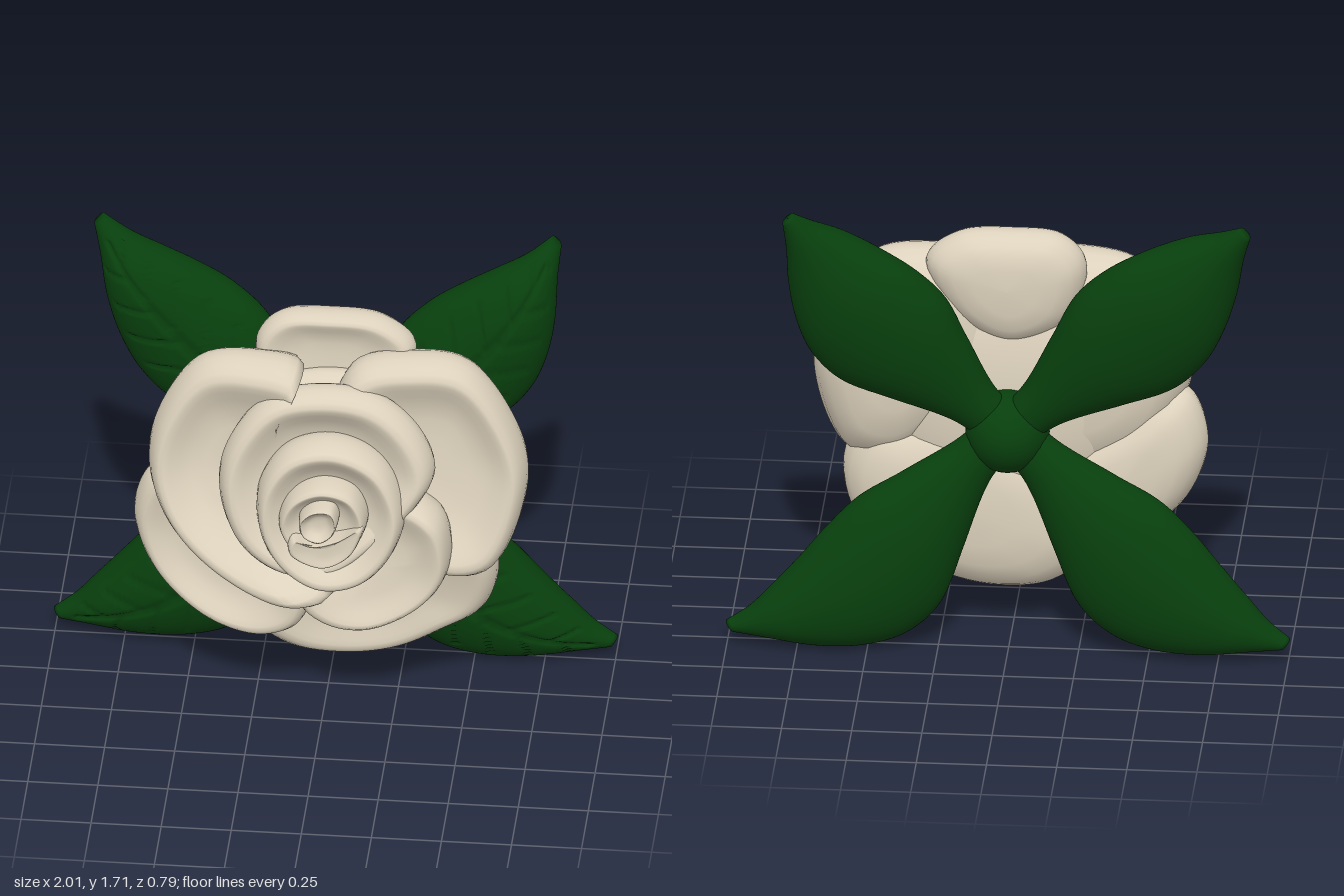
import * as THREE from 'three';

const cream = new THREE.MeshStandardMaterial({ color: 0xdcd1bc });
cream.name = 'cream petal';
const green = new THREE.MeshStandardMaterial({ color: 0x083f0d });
green.name = 'dark green leaf';

const HEART = [0.02, 0.9]; // middle of the bloom

// Skin a stack of closed loops; each ring is an array of [x, y, z].
function loft(rings) {
  const n = rings[0].length;
  const index = [];
  for (let i = 0; i < rings.length - 1; i++) {
    for (let j = 0; j < n; j++) {
      const k = (j + 1) % n;
      const a = i * n + j, d = i * n + k, b = a + n, c = d + n;
      index.push(a, d, b, b, d, c);
    }
  }
  const geo = new THREE.BufferGeometry();
  geo.setAttribute('position', new THREE.Float32BufferAttribute(rings.flat(2), 3));
  geo.setIndex(index);
  geo.computeVertexNormals();
  return geo;
}

// Smooth interpolation through [position, value] pairs.
function ramp(points, t) {
  let i = 0;
  while (i < points.length - 2 && t > points[i + 1][0]) i++;
  const [t0, v0] = points[i], [t1, v1] = points[i + 1];
  const p = points[Math.max(0, i - 1)], q = points[Math.min(points.length - 1, i + 2)];
  const m0 = (v1 - p[1]) / (t1 - p[0]) * (t1 - t0), m1 = (q[1] - v0) / (q[0] - t0) * (t1 - t0);
  const u = (t - t0) / (t1 - t0), u2 = u * u, u3 = u2 * u;
  return (2 * u3 - 3 * u2 + 1) * v0 + (u3 - 2 * u2 + u) * m0 + (3 * u2 - 2 * u3) * v1 + (u3 - u2) * m1;
}

// Petal section from back centre to front centre: [scale, height 0..1, share of dish depth]
const SECTION = [
  [0.001, 0, 0], [0.4, 0.015, 0], [0.65, 0.07, 0], [0.82, 0.19, 0], [0.93, 0.36, 0], [0.985, 0.52, 0],
  [1, 0.64, 0], [0.99, 0.76, 0], [0.96, 0.88, 0], [0.92, 0.96, 0], [0.87, 1, 0], [0.82, 1, 0.06],
  [0.76, 1, 0.2], [0.67, 1, 0.45], [0.55, 1, 0.74], [0.4, 1, 0.93], [0.2, 1, 1], [0.001, 1, 1],
];

// A thick dished petal: outline runs anticlockwise seen from the front.
function petal({ outline, back, front, dish, gx = 0, gy = 0, drop = 0 }) {
  const curve = new THREE.CatmullRomCurve3(outline.map(([x, y]) => new THREE.Vector3(x, y, 0)), true);
  const loop = curve.getSpacedPoints(72).slice(0, 72);
  const cx = loop.reduce((s, p) => s + p.x, 0) / 72;
  const cy = loop.reduce((s, p) => s + p.y, 0) / 72;
  return loft(SECTION.map(([s, h, d]) => loop.map((p) => {
    const x = cx + (p.x - cx) * s, y = cy + (p.y - cy) * s;
    const near = Math.max(0, 1 - Math.hypot(x - HEART[0], y - HEART[1]) / 0.36);
    const top = front + gx * (x - cx) + gy * (y - cy) - drop * near;
    return [x, y, back + (top - back) * h - dish * d];
  })));
}

const PETALS = {
  topPetal: { back: -0.16, front: 0.03, dish: 0.04, gy: -0.1,
    outline: [[.31, 1.42], [.2, 1.52], [0, 1.54], [-.18, 1.52], [-.26, 1.42], [-.2, 1.2], [0, 1.1], [.2, 1.2]] },
  bottomPetal: { back: -0.15, front: 0.12, dish: 0.05, gy: 0.2, drop: 0.1,
    outline: [[.61, .6], [.53, .75], [.2, .8], [-.2, .6], [-.28, .3], [-.15, .17], [.05, .14], [.25, .18], [.42, .28], [.57, .4]] },
  lowerLeftPetal: { back: -0.13, front: 0.16, dish: 0.06, gx: 0.2, drop: 0.1,
    outline: [[-.05, .5], [-.15, .66], [-.4, .82], [-.61, .91], [-.69, .73], [-.62, .5], [-.42, .32], [-.22, .28], [-.08, .35]] },
  rightPetal: { back: -0.14, front: 0.19, dish: 0.08, gx: -0.08, gy: -0.15, drop: 0.15,
    outline: [[.72, .95], [.67, 1.17], [.5, 1.4], [.3, 1.43], [.09, 1.38], [.02, 1.05], [.2, .8], [.42, .6], [.6, .62]] },
  leftPetal: { back: -0.12, front: 0.26, dish: 0.1, gx: 0.2, gy: -0.2, drop: 0.28,
    outline: [[-.14, .95], [-.14, 1.25], [-.08, 1.39], [-.25, 1.42], [-.45, 1.38], [-.6, 1.16], [-.63, .95],
      [-.55, .75], [-.35, .58], [-.1, .5], [.05, .56], [-.02, .72]] },
  lowerRightPetal: { back: 0, front: 0.31, dish: 0.05, drop: 0.1,
    outline: [[.46, .72], [.42, .88], [.28, .94], [.08, .78], [-.09, .51], [0, .42], [.15, .4], [.32, .48], [.43, .6]] },
  outerWhorl: { back: 0.02, front: 0.29, dish: 0.1, gy: -0.17,
    outline: [[.4, 1.05], [.34, 1.2], [.2, 1.32], [0, 1.35], [-.2, 1.3], [-.34, 1.12], [-.37, .95], [-.3, .75],
      [-.15, .64], [.04, .64], [.2, .76], [.35, .93]] },
  middleWhorl: { back: 0.05, front: 0.35, dish: 0.09, gy: -0.12,
    outline: [[.3, .92], [.22, 1.1], [.05, 1.18], [-.12, 1.14], [-.22, 1], [-.22, .82], [-.14, .68], [0, .6], [.15, .63], [.26, .75]] },
  innerWhorl: { back: 0.1, front: 0.365, dish: 0.06,
    outline: [[.17, .9], [.12, 1.01], [0, 1.04], [-.11, .98], [-.15, .87], [-.1, .77], [.02, .72], [.13, .79]] },
  innerFold: { back: 0.2, front: 0.39, dish: 0.01, gx: -0.05,
    outline: [[.16, .9], [.08, .85], [-.03, .82], [-.1, .84], [-.11, .78], [.01, .72], [.12, .78]] },
  bud: { back: 0.15, front: 0.4, dish: 0.03,
    outline: [[.07, .91], [.05, .97], [-.02, .97], [-.07, .92], [-.06, .86], [0, .83], [.05, .86]] },
};

const LEAF_WIDTH = [[0, .08], [.12, .1], [.3, .18], [.45, .245], [.58, .245], [.7, .205], [.82, .14], [.92, .07], [1, .025]];
const LEAF_THICK = [[0, .07], [.15, .085], [.4, .13], [.65, .135], [.85, .1], [1, .03]];

// A plump pointed leaf with engraved veins on its front.
function leaf(base, tip, tipZ, bow) {
  const dx = tip[0] - base[0], dy = tip[1] - base[1], len = Math.hypot(dx, dy);
  const px = -dy / len, py = dx / len; // sideways direction
  const mid = [[0, -.19], [.3, -.225], [.6, -.255], [.85, -.275], [1, tipZ]];
  const rings = [];
  const N = 90, M = 72;
  for (let i = -1; i <= N + 1; i++) {
    const t = Math.min(1, Math.max(0, i / N));
    const closed = i < 0 || i > N ? 0.01 : 1;
    const w = ramp(LEAF_WIDTH, t) * closed, h = ramp(LEAF_THICK, t) * closed;
    const ring = [];
    for (let j = 0; j < M; j++) {
      const a = j / M * Math.PI * 2;
      const side = w * Math.cos(a);
      let z = ramp(mid, t) + h * Math.sin(a);
      if (Math.sin(a) > 0.2 && t > 0.3 && t < 0.95) {
        const off = Math.abs(side);
        const phase = (t * len - off * 0.9) / 0.15 + (side > 0 ? 0.35 : 0);
        const vein = Math.abs(phase - Math.round(phase)) * 0.15;
        const rib = Math.max(0, 1 - off / 0.014);
        const branch = off < w * 0.75 ? Math.max(0, 1 - vein / 0.014) : 0;
        z -= 0.014 * Math.max(rib, branch);
      }
      const o = side + bow * Math.sin(Math.PI * t ** 1.4);
      ring.push([base[0] + dx * t + px * o, base[1] + dy * t + py * o, z]);
    }
    rings.push(ring);
  }
  return loft(rings);
}

const LEAVES = [
  ['upperRightLeaf', [-.02, .84], [-.85, 1.69], -.34, .03],
  ['upperLeftLeaf', [.04, .84], [.78, 1.69], -.34, -.06],
  ['lowerRightLeaf', [-.02, .8], [-.99, .06], -.28, .125],
  ['lowerLeftLeaf', [.04, .8], [.99, .06], -.28, -.15],
];

export function createModel() {
  const model = new THREE.Group();
  model.name = 'roseWithLeaves';
  const add = (parent, name, geo, mat) => {
    const mesh = new THREE.Mesh(geo, mat);
    mesh.name = name;
    parent.add(mesh);
    return mesh;
  };

  // Bloom: petals around a solid core that closes the back
  const bloom = new THREE.Group();
  bloom.name = 'bloom';
  for (const [name, spec] of Object.entries(PETALS)) add(bloom, name, petal(spec), cream);
  const core = add(bloom, 'core', new THREE.SphereGeometry(1, 40, 24), cream);
  core.scale.set(0.46, 0.46, 0.16);
  core.position.set(0.02, 0.87, 0.01);

  // Leaves and the rounded hub behind the bloom
  const foliage = new THREE.Group();
  foliage.name = 'foliage';
  for (const [name, ...spec] of LEAVES) add(foliage, name, leaf(...spec), green);
  const hub = add(foliage, 'hub', new THREE.SphereGeometry(1, 32, 20), green);
  hub.scale.set(0.15, 0.15, 0.16);
  hub.position.set(0.01, 0.81, -0.17);

  model.add(bloom, foliage);
  return model;
}
